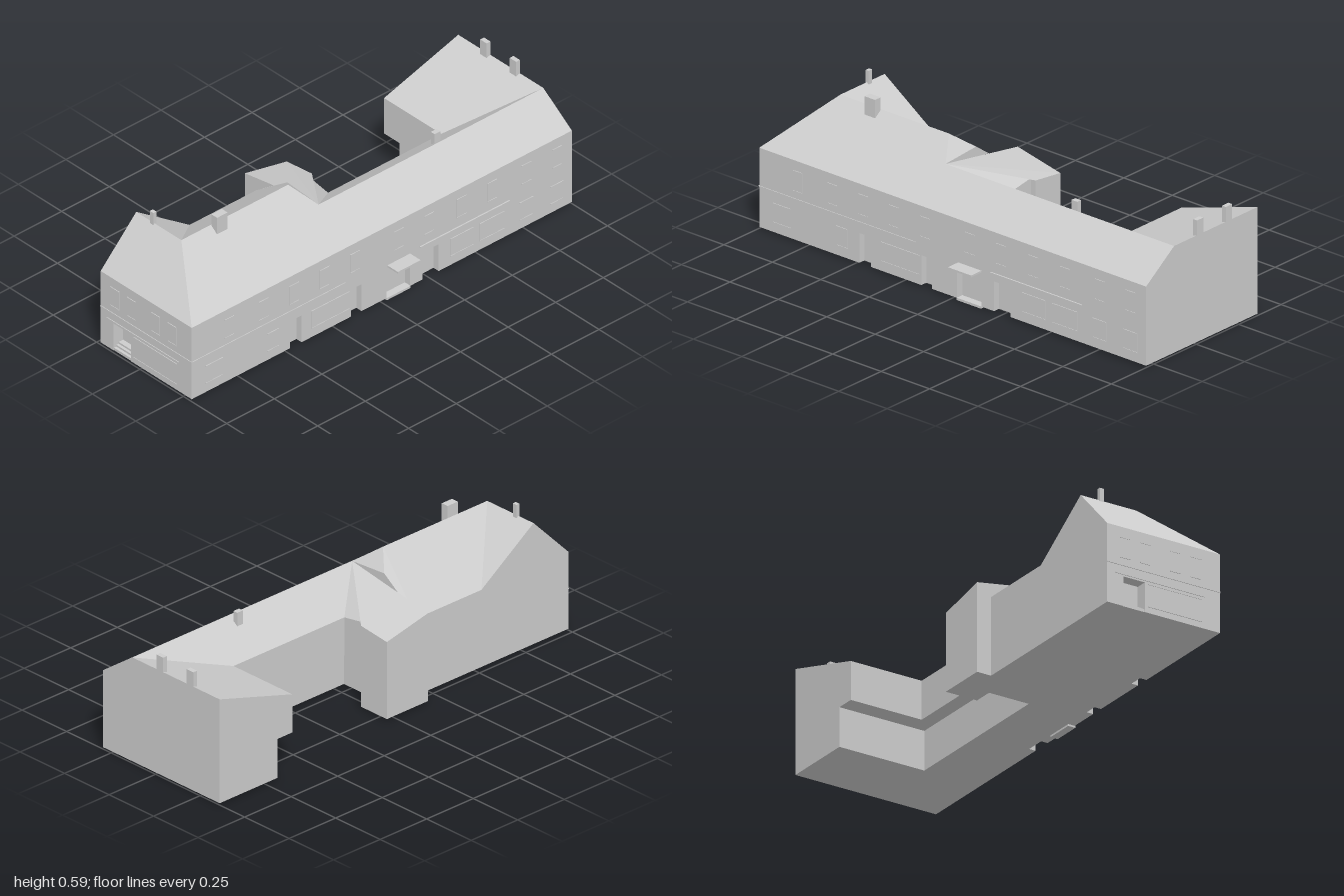
import * as THREE from 'three';

export function createModel() {
  const model = new THREE.Group();
  const stone = new THREE.MeshStandardMaterial({ color: 0xcccccc });
  stone.name = 'paleGrey';

  const add = (name, geometry) => {
    const mesh = new THREE.Mesh(geometry, stone);
    mesh.name = name;
    model.add(mesh);
    return mesh;
  };
  // Box given by its extents
  const box = (name, x0, x1, y0, y1, z0, z1) =>
    add(name, new THREE.BoxGeometry(x1 - x0, y1 - y0, z1 - z0))
      .position.set((x0 + x1) / 2, (y0 + y1) / 2, (z0 + z1) / 2);
  // Footprint of [x, z] corners raised between two heights
  const storey = (name, plan, y0, y1) => {
    const shape = new THREE.Shape(plan.map(([x, z]) => new THREE.Vector2(x, -z)));
    const g = new THREE.ExtrudeGeometry(shape, { depth: y1 - y0, bevelEnabled: false });
    g.rotateX(-Math.PI / 2).translate(0, y0, 0);
    add(name, g);
  };
  // Fan of triangles from the first corner, each turned towards the outward direction
  const face = (name, out, ...corners) => {
    const v = corners.map((c) => new THREE.Vector3(...c));
    const dir = new THREE.Vector3(...out);
    const pts = [];
    for (let i = 1; i < v.length - 1; i++) {
      const t = [v[0], v[i], v[i + 1]];
      const n = t[1].clone().sub(t[0]).cross(t[2].clone().sub(t[0]));
      pts.push(...(n.dot(dir) < 0 ? [t[0], t[2], t[1]] : t));
    }
    const g = new THREE.BufferGeometry().setFromPoints(pts);
    g.computeVertexNormals();
    add(name, g);
  };

  const F = 0.997, E = 0.295, EAVE = 0.345, LOW = 0.462, HIGH = 0.537;

  // Ground floor, set back around the yard, with notches for doorways
  const yard = [[-0.23, F], [-0.23, 0.18], [-0.295, 0.18], [-0.295, -0.04], [-0.15, -0.04],
    [-0.15, 0.045], [0.035, 0.045], [0.035, -0.69], [-0.36, -0.69], [-0.36, -1], [E, -1]];
  const sideDoors = [[-0.3, -0.215], [-0.15, -0.025], [0.105, 0.16], [0.42, 0.48]];
  const notches = sideDoors.flatMap(([a, b]) =>
    [[E, a], [E - 0.03, a], [E - 0.03, b], [E, b]]);
  const porch = [[-0.055, F], [-0.055, F - 0.05], [-0.155, F - 0.05], [-0.155, F]];
  storey('groundFloor', [...yard, ...notches, [E, F], ...porch], 0.008, 0.135);
  storey('groundFloorHead', [...yard, [E, F]], 0.135, 0.178);

  // Upper floor, overhanging the yard
  storey('upperFloor', [[-0.23, F], [-0.23, 0.18], [-0.295, 0.18], [-0.295, -0.04],
    [-0.15, -0.04], [-0.15, -0.015], [-0.03, -0.015], [-0.03, -0.61], [-0.36, -0.61],
    [-0.36, -1], [E, -1], [E, F]], 0.178, EAVE);

  // Main roofs
  const up = [0, 1, 0], west = [-1, 0, 0], north = [0, 0, -1], south = [0, 0, 1];
  const P = [0.13, LOW, 0.18], T = [-0.05, 0.475, 0.18], X = [-0.127, 0.42, 0.18];
  const ridgeA = [0.03, HIGH, 0.25], ridgeB = [0.03, HIGH, 0.81];
  const rear = [0.13, LOW, -1], ridgeW = [-0.23, HIGH, 0.81], valley = [-0.23, EAVE, 0.53];
  face('streetRoof', up, P, rear, [E, EAVE, -1], [E, EAVE, F], ridgeB, ridgeA);
  face('frontRoof', up, ridgeW, ridgeB, [E, EAVE, F], [-0.23, EAVE, F]);
  face('frontRoofBack', up, ridgeW, ridgeB, valley);
  face('frontGable', west, ridgeW, [-0.23, EAVE, F], valley);
  face('tallYardRoof', up, [-0.23, EAVE, 0.18], valley, ridgeB, ridgeA, T);
  face('tallRoofHip', up, P, T, ridgeA);
  face('tallRoofEndWall', north, P, T, X);
  face('lowYardRoof', up, rear, P, [-0.03, EAVE, -0.015], [-0.03, EAVE, -0.61]);

  // Rear wing roof and gables
  face('wingRoof', up, rear, [-0.03, EAVE, -0.61], [-0.36, EAVE, -0.61], [-0.36, LOW, -1]);
  face('wingGable', west, [-0.36, LOW, -1], [-0.36, EAVE, -1], [-0.36, EAVE, -0.61]);
  face('rearGable', north, [-0.36, LOW, -1], rear, [E, EAVE, -1], [-0.36, EAVE, -1]);

  // Yard annex roof and its wall tops
  const A = [-0.295, 0.392, 0.18], B = [-0.295, EAVE, -0.04], C = [-0.15, 0.362, -0.04];
  const D = [-0.15, 0.365, -0.015], G = [-0.03, EAVE, -0.015];
  face('annexRoof', up, P, A, B, C, D, G);
  face('annexWestWall', west, A, B, [-0.295, EAVE, 0.18]);
  face('annexNorthWall', north, B, C, [-0.15, EAVE, -0.04]);
  face('annexReturn', [1, 0, 0], C, D, [-0.15, EAVE, -0.015], [-0.15, EAVE, -0.04]);
  face('annexInnerWall', north, D, G, [-0.15, EAVE, -0.015]);
  face('annexSouthWall', south, A, X, [-0.23, EAVE, 0.18], [-0.295, EAVE, 0.18]);

  // Chimneys
  box('frontChimney', -0.145, -0.125, 0.5, 0.588, 0.8, 0.816);
  box('tallChimney', 0.033, 0.066, 0.49, 0.588, 0.6, 0.655);
  box('smallChimney', 0.085, 0.107, 0.42, 0.488, -0.48, -0.45);
  for (const x of [-0.212, -0.042]) box('rearChimney', x, x + 0.037, 0.42, 0.525, -1, -0.98);

  // Window plates with sill and lintel, on the front and on the street side
  const frontWindow = (x, w, y0, y1) => {
    box('frontWindow', x - w / 2, x + w / 2, y0, y1, F - 0.002, F + 0.001);
    for (const y of [y0, y1]) box('frontSill', x - w / 2, x + w / 2, y - 0.002, y + 0.002, F - 0.002, F + 0.003);
  };
  const sideWindow = (z, w, y0, y1) => {
    box('streetWindow', E - 0.002, E + 0.001, y0, y1, z - w / 2, z + w / 2);
    for (const y of [y0, y1]) box('streetSill', E - 0.002, E + 0.003, y - 0.002, y + 0.002, z - w / 2, z + w / 2);
  };
  for (const x of [-0.147, -0.053, 0.087, 0.182]) frontWindow(x, 0.049, 0.215, 0.3);
  frontWindow(0.085, 0.25, 0.035, 0.13);
  for (const z of [0.8, 0.62, 0.46, 0.3, 0.14, -0.09, -0.25, -0.42, -0.58, -0.76, -0.92])
    sideWindow(z, 0.05, 0.215, 0.3);
  for (const [z, w] of [[0.88, 0.09], [0.57, 0.06], [0.27, 0.2], [-0.42, 0.12], [-0.58, 0.13], [-0.76, 0.07], [-0.92, 0.07]])
    sideWindow(z, w, 0.05, 0.13);

  // String courses and shop ledges
  box('frontStringCourse', -0.23, E, 0.18, 0.184, F - 0.002, F + 0.003);
  box('streetStringCourse', E - 0.002, E + 0.003, 0.18, 0.184, 0.19, F);
  box('frontShopLedge', -0.193, 0.222, 0.142, 0.147, F - 0.002, F + 0.003);
  box('streetShopLedge', E - 0.002, E + 0.006, 0.166, 0.171, -0.67, -0.2);

  // Front steps, street canopy and threshold
  for (let i = 0; i < 3; i++)
    box('frontStep', -0.155, -0.055, 0.008, 0.02 + i * 0.008, F - 0.05, F - 0.002 - i * 0.012);
  box('canopy', E - 0.005, 0.356, 0.153, 0.161, -0.15, -0.03);
  box('threshold', E - 0.03, E + 0.003, 0, 0.01, -0.15, -0.025);

  return model;
}
